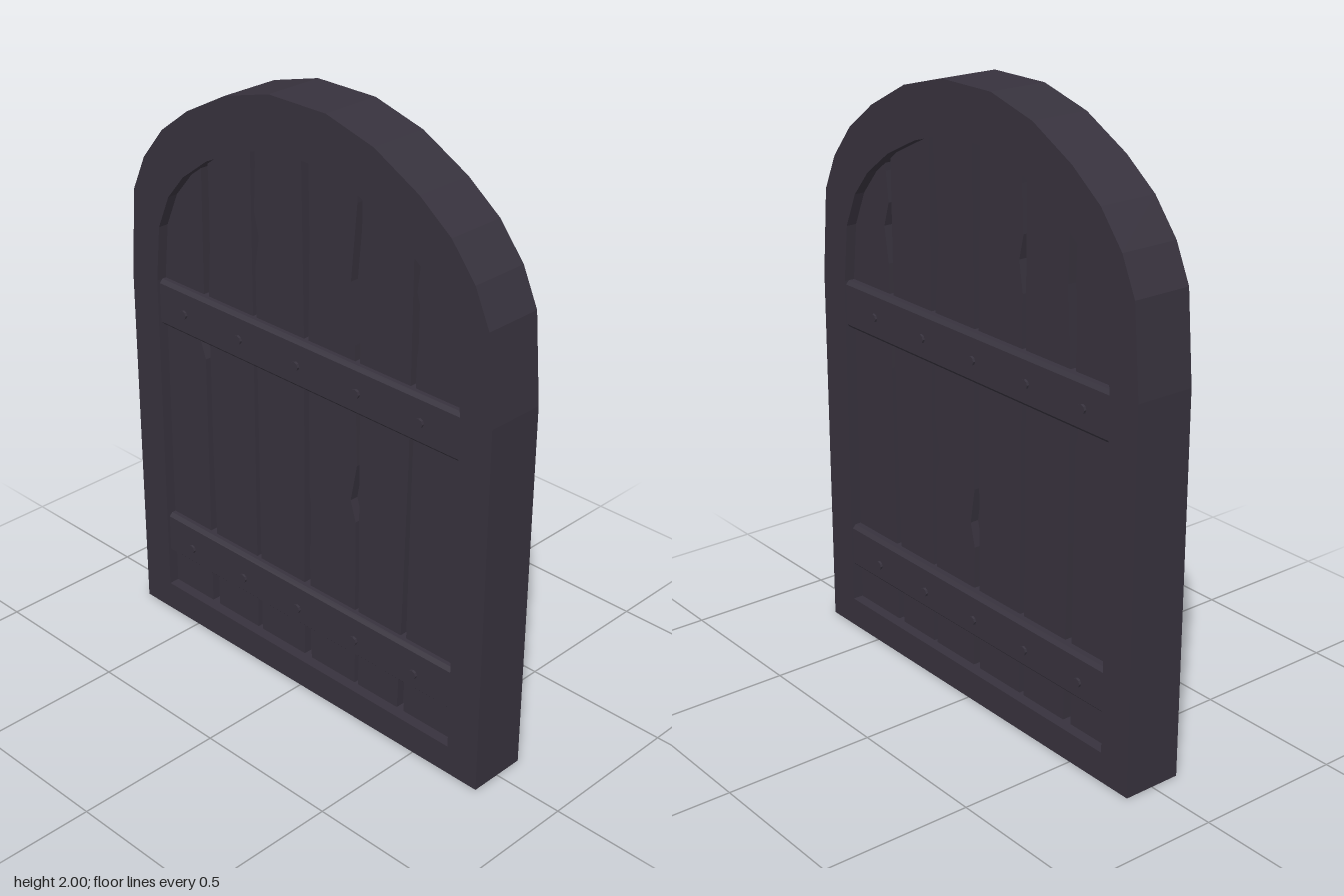
import * as THREE from 'three';

const material = new THREE.MeshStandardMaterial({ color: 0x37323d, flatShading: true });

// Left halves of the frame outlines, from the spring line up to the crown
const outerArch = [[-0.76, 1.25], [-0.735, 1.54], [-0.68, 1.66], [-0.59, 1.77], [-0.47, 1.86], [-0.3, 1.95], [-0.115, 2]];
const innerArch = [[-0.642, 1.25], [-0.622, 1.44], [-0.572, 1.555], [-0.5, 1.64], [-0.39, 1.722], [-0.25, 1.79], [-0.1, 1.835]];
const midArch = outerArch.map(([x, y], i) => [(x + innerArch[i][0]) / 2, (y + innerArch[i][1]) / 2]);

const mirrored = (half) => [...half, ...half.map(([x, y]) => [-x, y]).reverse()];
const vectors = (pts) => pts.map(([x, y]) => new THREE.Vector2(x, y));

// Closed outline, counter-clockwise so that holes face inwards
function archOutline(half, bottom) {
  const x = half[0][0];
  return vectors([[x, bottom], [-x, bottom], ...mirrored(half).reverse()]);
}

// Extrude an outline between two depths
function slab(shape, z0, z1) {
  const g = new THREE.ExtrudeGeometry(shape, { depth: z1 - z0, bevelEnabled: false });
  return g.translate(0, 0, z0);
}

function add(parent, name, geometry) {
  const mesh = new THREE.Mesh(geometry, material);
  mesh.name = name;
  parent.add(mesh);
  return mesh;
}

// Height of the hidden plank ends at a given x
function archHeight(x) {
  const pts = mirrored(midArch);
  for (let i = 1; i < pts.length; i++) {
    const [x0, y0] = pts[i - 1], [x1, y1] = pts[i];
    if (x <= x1) return y0 + (y1 - y0) * Math.max(0, (x - x0) / (x1 - x0));
  }
  return pts[pts.length - 1][1];
}

// Both sides of each gap between planks, listed upwards as [x, y]
const gaps = [
  { left: [[-0.46, 0.05], [-0.46, 1.02], [-0.485, 1.09], [-0.46, 1.2], [-0.455, 1.7]],
    right: [[-0.425, 0.05], [-0.43, 0.35], [-0.437, 0.7], [-0.437, 1.24], [-0.42, 1.5], [-0.425, 1.7]] },
  { left: [[-0.235, 0.05], [-0.235, 1.75]],
    right: [[-0.215, 0.05], [-0.22, 1.42], [-0.203, 1.52], [-0.222, 1.6], [-0.215, 1.75]] },
  { left: [[-0.015, 0.05], [-0.012, 1.24], [-0.02, 1.8]],
    right: [[0.018, 0.05], [0.01, 0.52], [0.03, 0.6], [0.01, 0.72], [0.007, 1.24], [0.016, 1.8]] },
  { left: [[0.212, 0.05], [0.21, 0.7], [0.188, 0.77], [0.213, 0.9], [0.2, 1.3], [0.182, 1.5], [0.205, 1.75]],
    right: [[0.228, 0.05], [0.222, 1.3], [0.225, 1.75]] },
  { left: [[0.395, 0.05], [0.41, 0.5], [0.422, 1], [0.425, 1.65]],
    right: [[0.425, 0.05], [0.437, 1], [0.445, 1.35], [0.465, 1.47], [0.44, 1.55], [0.452, 1.65]] },
];

function plankShape(leftEdge, rightEdge) {
  const xl = leftEdge[leftEdge.length - 1][0];
  const xr = rightEdge[rightEdge.length - 1][0];
  const top = mirrored(midArch).filter(([x]) => x > xl + 0.005 && x < xr - 0.005).reverse();
  const outline = [...leftEdge].reverse().concat(rightEdge);
  return new THREE.Shape(vectors([...outline, [xr, archHeight(xr)], ...top, [xl, archHeight(xl)]]));
}

export function createModel() {
  const door = new THREE.Group();
  door.name = 'archedDoor';

  // Heavy surround with an arched opening
  const frameShape = new THREE.Shape(archOutline(outerArch, 0));
  frameShape.holes.push(new THREE.Path(archOutline(innerArch, 0.1)));
  add(door, 'frame', slab(frameShape, -0.1, 0.1));

  // Thin core that closes the gaps between planks
  add(door, 'core', slab(new THREE.Shape(archOutline(midArch, 0.05)), -0.035, 0.035));

  // Six worn planks, their ends tucked into the frame
  const planks = new THREE.Group();
  planks.name = 'planks';
  door.add(planks);
  const side = midArch[0][0];
  for (let i = 0; i <= gaps.length; i++) {
    const leftEdge = i ? gaps[i - 1].right : [[side, 0.05], [side, 1.2]];
    const rightEdge = i < gaps.length ? gaps[i].left : [[-side, 0.05], [-side, 1.2]];
    add(planks, 'plank' + (i + 1), slab(plankShape(leftEdge, rightEdge), -0.064, 0.064));
  }

  // Chamfered cross bands with rivets on both faces
  const front = 0.09, back = -0.096, chamfer = 0.012;
  for (const [name, y0, y1, rivetY] of [['lowerBand', 0.225, 0.378, 0.287], ['upperBand', 1.09, 1.25, 1.165]]) {
    const band = new THREE.Group();
    band.name = name;
    door.add(band);
    const section = new THREE.Shape(vectors([
      [-front + chamfer, y0], [-back - chamfer, y0], [-back, y0 + chamfer], [-back, y1 - chamfer],
      [-back - chamfer, y1], [-front + chamfer, y1], [-front, y1 - chamfer], [-front, y0 + chamfer],
    ]));
    add(band, name + 'Bar', slab(section, -0.645, 0.645).rotateY(Math.PI / 2));
    for (let i = 0; i < 5; i++) {
      const x = -0.528 + i * 0.2535;
      for (const [label, z, dir] of [['frontRivet', front, 1], ['backRivet', back, -1]]) {
        const rivet = add(band, label, new THREE.CylinderGeometry(0.015, 0.015, 0.02, 8));
        rivet.rotation.x = dir * Math.PI / 2;
        rivet.position.set(x, rivetY, z - dir * 0.002);
      }
    }
  }
  return door;
}
